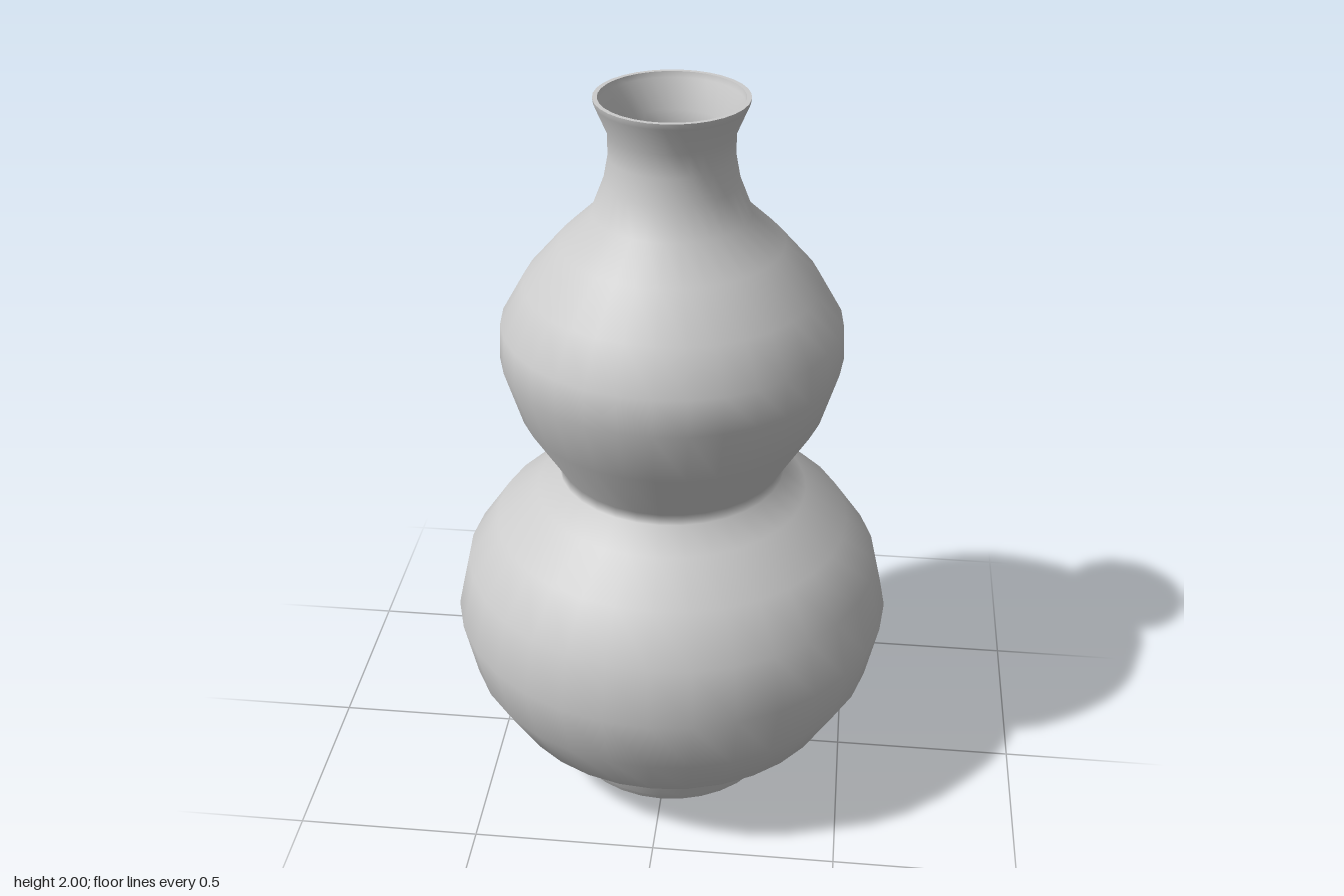
import * as THREE from 'three';

const SEGMENTS = 32;

// Revolves a profile of [radius, height] points, listed from bottom to top for outward faces
function revolve(name, profile) {
  const points = profile.map(([r, y]) => new THREE.Vector2(r, y));
  const material = new THREE.MeshStandardMaterial({ color: 0xcccccc, side: THREE.DoubleSide });
  const mesh = new THREE.Mesh(new THREE.LatheGeometry(points, SEGMENTS), material);
  mesh.name = name;
  return mesh;
}

export function createModel() {
  const group = new THREE.Group();
  group.name = 'gourdVase';

  // Outer wall: lower bulb, waist, upper bulb, neck and flared lip
  const outer = [
    [0.345, 0.11], [0.38, 0.13], [0.48, 0.2], [0.57, 0.355], [0.605, 0.52],
    [0.57, 0.675], [0.485, 0.8], [0.37, 0.89], [0.307, 0.95], [0.305, 0.98],
    [0.405, 1.145], [0.452, 1.3], [0.447, 1.4], [0.385, 1.51], [0.29, 1.62],
    [0.205, 1.7], [0.172, 1.785], [0.16, 1.85], [0.16, 1.91], [0.192, 1.985], [0.195, 2],
  ];

  // Inner wall follows the outer one, with a thin shell between them
  const inner = outer.slice(1).map(([r, y]) => [r - 0.012, y]).reverse();

  group.add(
    revolve('body', outer),
    revolve('rim', [[0.195, 2], [0.183, 2]]),
    revolve('innerWall', inner),
    revolve('innerFloor', [[0.368, 0.13], [0, 0.13]]),
    // Tapered foot ring, with a small bevel down to the flat base
    revolve('foot', [[0.309, 0.018], [0.325, 0.055], [0.345, 0.11]]),
    revolve('footBevel', [[0.3, 0], [0.309, 0.018]]),
    revolve('base', [[0, 0], [0.3, 0]]),
  );
  return group;
}
